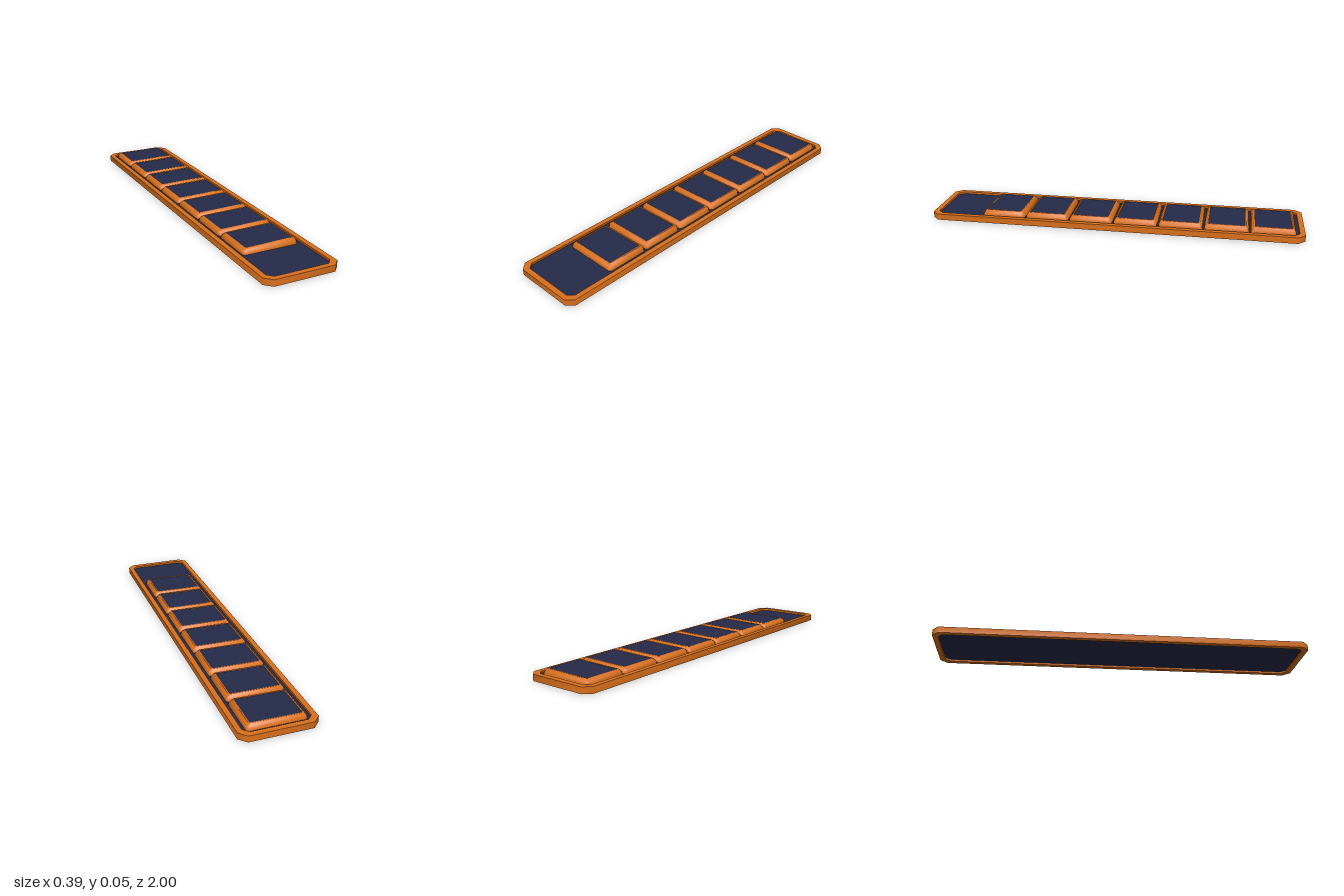
import * as THREE from 'three';
import { toCreasedNormals } from 'three/addons/utils/BufferGeometryUtils.js';

// Rectangle with cut corners, anticlockwise from above; tilt raises the +x side
function ring(hx, hz, cut, y, tilt = 0) {
  const a = hx - cut, b = hz - cut;
  return [[hx, b], [hx, -b], [a, -hz], [-a, -hz], [-hx, -b], [-hx, b], [-a, hz], [a, hz]]
    .map(([x, z]) => new THREE.Vector3(x, y + tilt * x, z));
}

// Skin a list of rings, optionally closing the first and last
function loft(rings, capStart = false, capEnd = false) {
  const pts = [];
  for (let r = 0; r < rings.length - 1; r++) {
    const a = rings[r], b = rings[r + 1];
    for (let i = 0; i < 8; i++) {
      const j = (i + 1) % 8;
      pts.push(a[i], a[j], b[j], a[i], b[j], b[i]);
    }
  }
  const first = rings[0], last = rings[rings.length - 1];
  for (let i = 1; i < 7; i++) {
    if (capStart) pts.push(first[0], first[i + 1], first[i]);
    if (capEnd) pts.push(last[0], last[i], last[i + 1]);
  }
  return toCreasedNormals(new THREE.BufferGeometry().setFromPoints(pts), 0.85);
}

export function createModel() {
  const group = new THREE.Group();
  const orange = new THREE.MeshStandardMaterial({ color: 0xd9701c });
  const navy = new THREE.MeshStandardMaterial({ color: 0x252a48 });
  const add = (parent, name, geometry, material) => {
    const mesh = new THREE.Mesh(geometry, material);
    mesh.name = name;
    parent.add(mesh);
  };

  // Frame around the tray, open above and below
  add(group, 'frame', loft([
    ring(0.194, 1, 0.036, 0),
    ring(0.194, 1, 0.036, 0.033),
    ring(0.167, 0.972, 0.027, 0.033),
    ring(0.167, 0.972, 0.027, 0),
    ring(0.194, 1, 0.036, 0),
  ]), orange);

  // Recessed floor, seen from both sides
  add(group, 'floor', loft([
    ring(0.168, 0.973, 0.027, 0.01),
    ring(0.168, 0.973, 0.027, 0.022),
  ], true, true), navy);

  // Row of seven bevelled pads, slightly higher on the left side
  const tilt = 0.018;
  const padBody = loft([
    ring(0.148, 0.116, 0.01, 0.02),
    ring(0.146, 0.114, 0.01, 0.034),
    ring(0.141, 0.109, 0.01, 0.043, tilt * 0.5),
    ring(0.133, 0.102, 0.008, 0.0515, tilt),
    ring(0.127, 0.096, 0.003, 0.0515, tilt),
    ring(0.126, 0.095, 0.003, 0.0495, tilt),
  ]);
  const padFace = loft([
    ring(0.1265, 0.0955, 0.003, 0.049, tilt),
    ring(0.1265, 0.0955, 0.003, 0.05, tilt),
  ], false, true);
  for (let i = 0; i < 7; i++) {
    const pad = new THREE.Group();
    pad.name = 'pad' + (i + 1);
    pad.position.z = -0.84 + i * 0.2405;
    add(pad, 'padBody', padBody, orange);
    add(pad, 'padFace', padFace, navy);
    group.add(pad);
  }
  return group;
}
